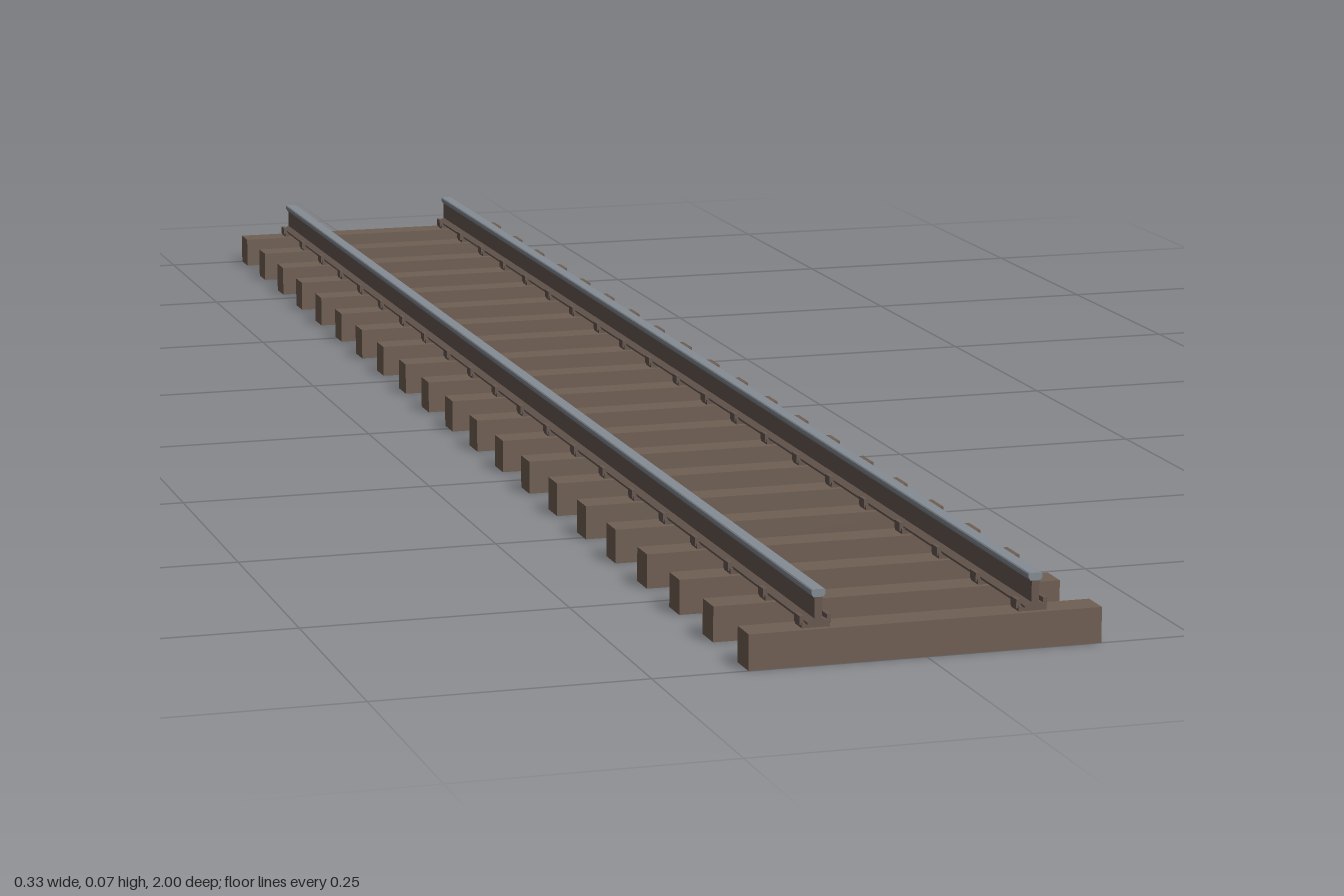
import * as THREE from 'three';

const SLEEPERS = 21;
const PITCH = 0.0985;
const GAUGE = 0.1; // rail centre from track centre

export function createModel() {
  const mat = (name, color) => {
    const m = new THREE.MeshStandardMaterial({ color });
    m.name = name;
    return m;
  };
  const wood = mat('sleeper brown', 0x705f53);
  const rust = mat('rail rust', 0x675850);
  const steel = mat('polished steel', 0x848c93);

  const track = new THREE.Group();
  track.name = 'railwayTrack';

  const add = (parent, name, geometry, material, x = 0, y = 0, z = 0) => {
    const mesh = new THREE.Mesh(geometry, material);
    mesh.name = name;
    mesh.position.set(x, y, z);
    parent.add(mesh);
    return mesh;
  };

  // Extrude a symmetric section, given as its right half from bottom to top
  const section = (half, length) => {
    const pts = half.map(([x, y]) => new THREE.Vector2(x, y));
    const mirrored = half.map(([x, y]) => new THREE.Vector2(-x, y)).reverse();
    const geo = new THREE.ExtrudeGeometry(new THREE.Shape([...pts, ...mirrored]), {
      depth: length, bevelEnabled: false,
    });
    return geo.translate(0, 0, -length / 2);
  };

  // Rail: flared foot and web, with a bright running head
  const bodyGeo = section([[0.010, 0.037], [0.010, 0.039], [0.0035, 0.042], [0.0035, 0.061]], 2);
  const headGeo = section([[0.0045, 0.061], [0.0065, 0.064], [0.0065, 0.067], [0.0055, 0.068]], 2);

  // Chair: base plate with a raised lug on each side of the rail foot
  const plateGeo = new THREE.BoxGeometry(0.026, 0.005, 0.018);
  const lugGeo = new THREE.BoxGeometry(0.004, 0.008, 0.014);

  for (const side of [-1, 1]) {
    const rail = new THREE.Group();
    rail.name = side > 0 ? 'leftRail' : 'rightRail';
    rail.position.x = side * GAUGE;
    add(rail, 'railBody', bodyGeo, rust);
    add(rail, 'railHead', headGeo, steel);
    track.add(rail);
  }

  // Sleepers, each carrying two chairs
  const sleeperGeo = new THREE.BoxGeometry(0.326, 0.0325, 0.03);
  for (let i = 0; i < SLEEPERS; i++) {
    const z = (i - (SLEEPERS - 1) / 2) * PITCH;
    add(track, 'sleeper', sleeperGeo, wood, 0, 0.01625, z);
    for (const side of [-1, 1]) {
      const chair = new THREE.Group();
      chair.name = 'railChair';
      chair.position.set(side * GAUGE, 0, z);
      add(chair, 'basePlate', plateGeo, rust, 0, 0.035, 0);
      for (const s of [-1, 1]) add(chair, 'lug', lugGeo, rust, s * 0.0125, 0.039, 0);
      track.add(chair);
    }
  }
  return track;
}
